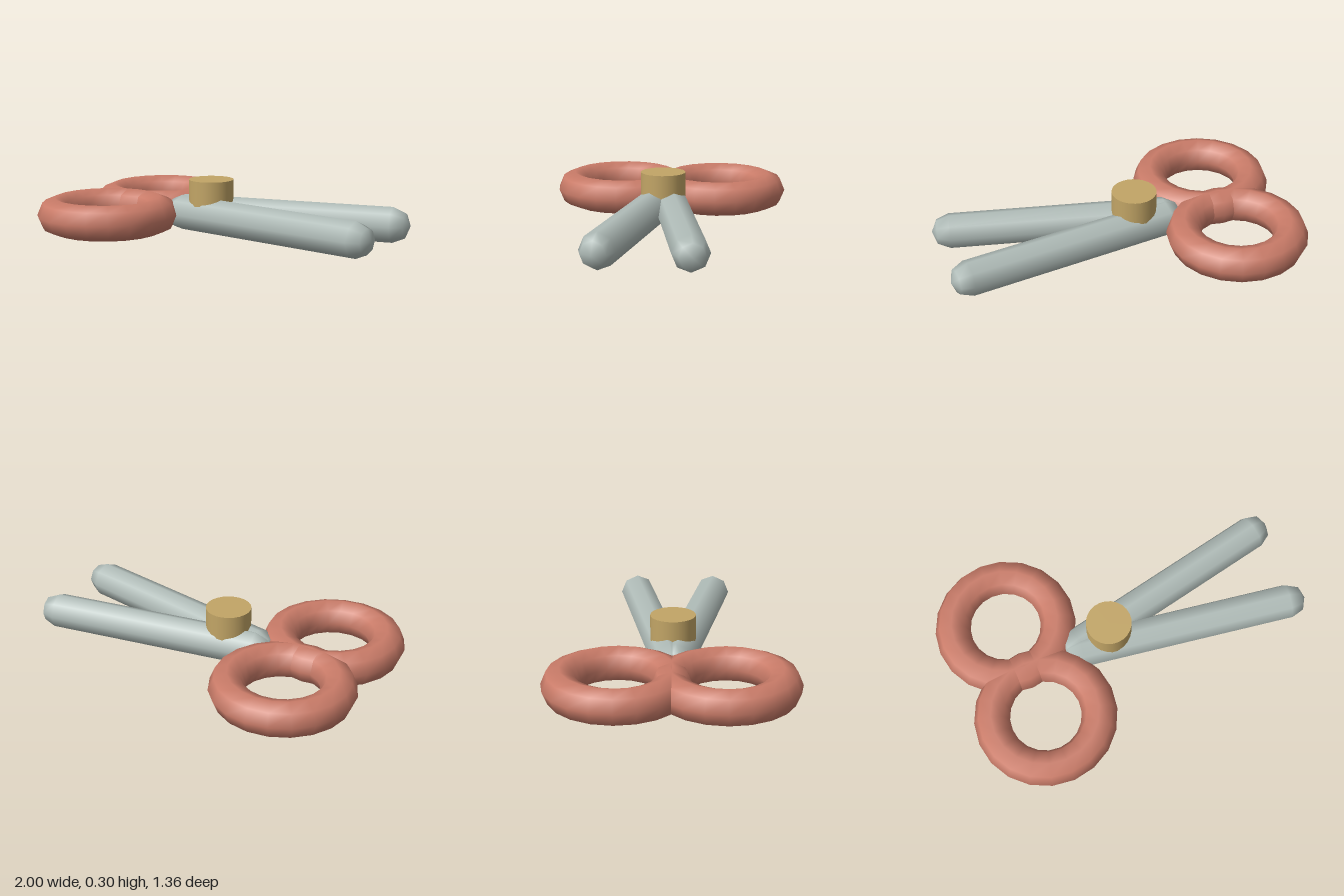
import * as THREE from 'three';

export function createModel() {
  const group = new THREE.Group();
  const clay = new THREE.MeshStandardMaterial({ name: 'terracotta', color: 0xc97b68 });
  const steel = new THREE.MeshStandardMaterial({ name: 'steel', color: 0xb0bcb8 });
  const brass = new THREE.MeshStandardMaterial({ name: 'brass', color: 0xc2a566 });

  const r = 0.0985; // half thickness of the handles and blades
  const add = (name, geometry, material, x, y, z) => {
    const mesh = new THREE.Mesh(geometry, material);
    mesh.name = name;
    mesh.position.set(x, y, z);
    group.add(mesh);
    return mesh;
  };

  // Finger rings and blades, mirrored front to back
  const ring = new THREE.TorusGeometry(0.2945, r, 8, 20).rotateX(Math.PI / 2);
  const blade = new THREE.CapsuleGeometry(r, 1.198, 2, 8).rotateZ(-Math.PI / 2);
  for (const [side, s] of [['front', 1], ['back', -1]]) {
    add(side + 'FingerRing', ring, clay, -0.607, r, s * 0.285);
    add(side + 'Blade', blade, steel, 0.31, r, s * 0.125).rotation.y = -s * 0.18;
  }

  // Pivot pin standing on the crossing
  add('pivotPin', new THREE.CylinderGeometry(0.125, 0.125, 0.15, 24), brass, -0.1, 0.223, 0);

  return group;
}
